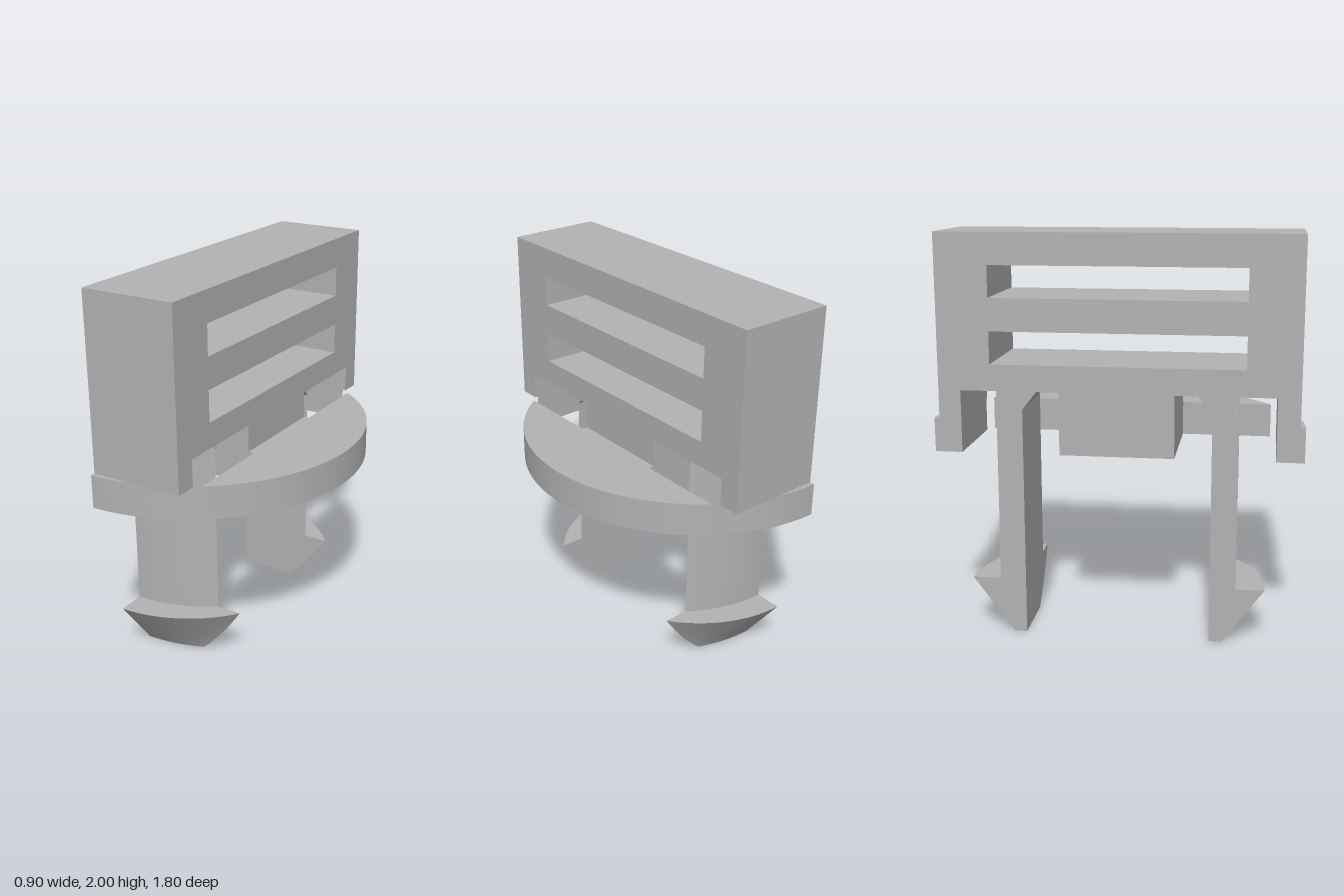
import * as THREE from 'three';
import { toCreasedNormals } from 'three/addons/utils/BufferGeometryUtils.js';

const BACK = -0.45;      // flat back plane of every part
const INNER = 0.46;      // inner plane of the legs
const FLANGE_R = 0.9;

const polygon = (pts) => new THREE.Shape(pts.map(([a, b]) => new THREE.Vector2(a, b)));

// Extrude a (z, y) outline along x
function extrudeX(shape, x0, x1) {
  const g = new THREE.ExtrudeGeometry(shape, { depth: x1 - x0, bevelEnabled: false });
  return g.rotateY(Math.PI / 2).translate(x0, 0, 0);
}

// Extrude an (x, z) outline along y
function extrudeY(shape, y0, y1) {
  const g = new THREE.ExtrudeGeometry(shape, { depth: y1 - y0, bevelEnabled: false });
  return toCreasedNormals(g.rotateX(-Math.PI / 2).translate(0, y0, 0), 0.5);
}

// Points on the flange rim between two angles
function rim(a0, a1, n) {
  return Array.from({ length: n + 1 }, (_, i) => {
    const a = a0 + (a1 - a0) * i / n;
    return [BACK + FLANGE_R * Math.cos(a), FLANGE_R * Math.sin(a)];
  });
}

// Leg cross-section: circular segment quarter, c deep in x and s thick in z
function legRing(y, c, s, side) {
  const r = (c * c + s * s) / (2 * s), a0 = Math.asin(c / r), n = 20;
  const ring = [[BACK, y, side * INNER]];
  for (let i = 0; i <= n; i++) {
    const a = a0 * (1 - i / n);
    ring.push([BACK + r * Math.sin(a), y, side * (INNER + s - r + r * Math.cos(a))]);
  }
  return side > 0 ? ring : ring.reverse();
}

// Closed solid through a stack of rings, lowest first
function loft(rings) {
  const pos = [], n = rings[0].length;
  const tri = (...p) => p.forEach((v) => pos.push(...v));
  for (let k = 0; k + 1 < rings.length; k++) {
    const a = rings[k], b = rings[k + 1];
    for (let i = 0; i < n; i++) {
      const j = (i + 1) % n;
      tri(a[i], b[i], b[j]);
      tri(a[i], b[j], a[j]);
    }
  }
  const lo = rings[0], hi = rings[rings.length - 1];
  for (let i = 1; i + 1 < n; i++) {
    tri(lo[0], lo[i], lo[i + 1]);
    tri(hi[0], hi[i + 1], hi[i]);
  }
  const g = new THREE.BufferGeometry();
  g.setAttribute('position', new THREE.Float32BufferAttribute(pos, 3));
  return toCreasedNormals(g, 0.5);
}

export function createModel() {
  const model = new THREE.Group();
  model.name = 'snapClip';
  const grey = new THREE.MeshStandardMaterial({ color: 0xb2b2b2 });
  grey.name = 'lightGrey';
  const add = (name, geometry) => {
    const mesh = new THREE.Mesh(geometry, grey);
    mesh.name = name;
    model.add(mesh);
  };

  // Slotted block with two notches in its lower edge
  const half = [[0.28, 1.1], [0.28, 1.24], [0.765, 1.24], [0.765, 1.1], [0.875, 1.1], [0.875, 2]];
  const outline = polygon([...half, ...half.map(([z, y]) => [-z, y]).reverse()]);
  for (const [y0, y1] of [[1.37, 1.53], [1.69, 1.845]]) {
    outline.holes.push(polygon([[-0.617, y0], [-0.617, y1], [0.617, y1], [0.617, y0]]));
  }
  add('slottedBody', extrudeX(outline, BACK, 0.04));

  // Front flange with the tongue that carries it
  const cut = Math.acos(0.52 / FLANGE_R);
  add('frontFlange', extrudeY(polygon([
    [BACK, 0.28], [BACK, -0.28], [0.07, -0.28], ...rim(-cut, cut, 48), [0.07, 0.28],
  ]), 0.93, 1.1));

  const endAngle = Math.asin(0.765 / FLANGE_R);
  for (const side of [1, -1]) {
    const label = side > 0 ? 'front' : 'back';

    // Flange piece below each end of the block
    add(label + 'EndFlange', extrudeY(polygon([
      [BACK, side * 0.765], ...rim(side * endAngle, side * Math.PI / 2, 16),
    ]), 0.93, 1.1));

    // Springy leg
    add(label + 'Leg', loft([0.28, 1.24].map((y) => legRing(y, 0.41, 0.128, side))));

    // Tapered barb
    const levels = Array.from({ length: 11 }, (_, i) => {
      const t = i / 10;
      return legRing(0.28 * t, Math.sqrt(0.096 + 0.196 * t), 0.061 + 0.209 * t, side);
    });
    add(label + 'Barb', loft(levels));

    // Gusset between leg and block
    add(label + 'Gusset', extrudeX(polygon([
      [-side * 0.46, 1.15], [-side * 0.46, 1.24], [-side * 0.39, 1.24],
    ]), BACK, -0.04));
  }
  return model;
}
